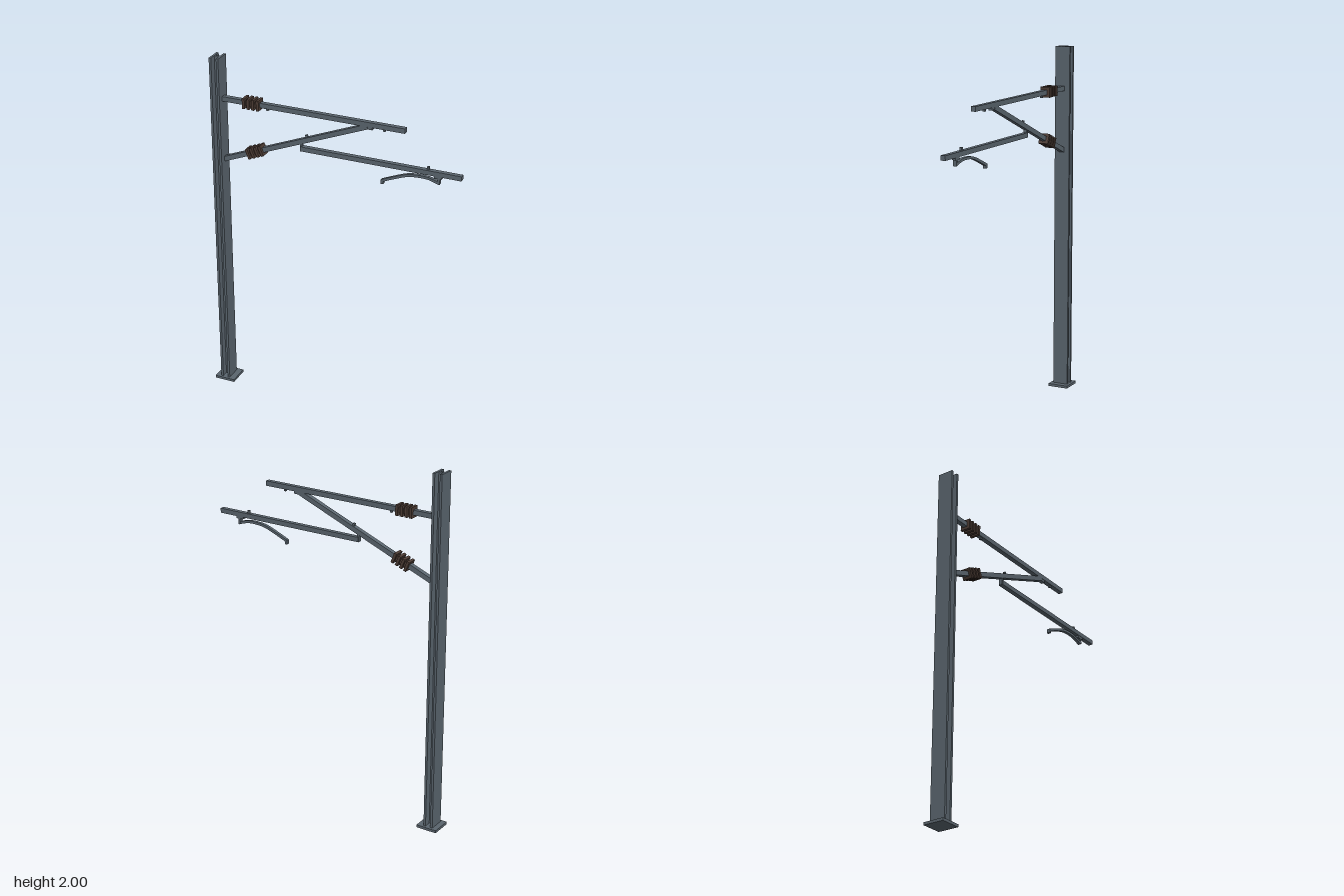
import * as THREE from 'three';

export function createModel() {
  const model = new THREE.Group();
  const steel = new THREE.MeshStandardMaterial({ color: 0x5a656e });
  steel.name = 'galvanised steel';
  const brown = new THREE.MeshStandardMaterial({ color: 0x4c3c34 });
  brown.name = 'brown insulator';

  const box = (name, x0, x1, y0, y1, depth, material = steel, parent = model) => {
    const mesh = new THREE.Mesh(new THREE.BoxGeometry(x1 - x0, y1 - y0, depth), material);
    mesh.position.set((x0 + x1) / 2, (y0 + y1) / 2, 0);
    mesh.name = name;
    parent.add(mesh);
    return mesh;
  };

  // Profile in the xy plane, extruded evenly to both sides of z = 0
  const plate = (name, points, depth) => {
    const shape = new THREE.Shape(points.map(([x, y]) => new THREE.Vector2(x, y)));
    const geometry = new THREE.ExtrudeGeometry(shape, { depth, bevelEnabled: false });
    geometry.translate(0, 0, -depth / 2);
    const mesh = new THREE.Mesh(geometry, steel);
    mesh.name = name;
    model.add(mesh);
    return mesh;
  };

  // Insulator: a core with four square sheds along local x
  const insulator = (name, parent, start) => {
    const group = new THREE.Group();
    group.name = name;
    box('insulatorCore', start, start + 0.098, -0.016, 0.016, 0.032, brown, group);
    for (let i = 0; i < 4; i++) {
      const x = start + i * 0.0275;
      box('insulatorShed', x, x + 0.015, -0.029, 0.029, 0.058, brown, group);
    }
    parent.add(group);
    return group;
  };

  // Mast: H section on a base plate
  box('basePlate', -0.725, -0.605, 0, 0.015, 0.12);
  box('mastWeb', -0.682, -0.652, 0.015, 2, 0.012);
  box('mastOuterFlange', -0.695, -0.682, 0.015, 2, 0.09);
  box('mastInnerFlange', -0.653, -0.64, 0.015, 2, 0.09);

  // Top tube
  box('topTube', -0.642, 0.407, 1.75, 1.777, 0.027);
  insulator('topInsulator', model, -0.515).position.y = 1.7635;
  box('topTubeClip', -0.383, -0.371, 1.737, 1.752, 0.012);
  box('topTubeEndClip', 0.283, 0.295, 1.737, 1.752, 0.012);

  // Diagonal bracket tube with its insulator and clip
  const diagonal = new THREE.Group();
  diagonal.name = 'diagonalBracket';
  diagonal.position.set(-0.642, 1.41, 0);
  diagonal.rotation.z = Math.atan2(0.337, 0.83);
  model.add(diagonal);
  box('diagonalTube', 0, 0.905, -0.0135, 0.0135, 0.027, steel, diagonal);
  insulator('diagonalInsulator', diagonal, 0.158);
  box('diagonalClip', 0.532, 0.544, 0.012, 0.027, 0.012, steel, diagonal);
  box('diagonalEndBracket', 0.18, 0.225, 1.736, 1.752, 0.022);

  // Registration tube, hung from the diagonal
  box('registrationTube', -0.185, 0.72, 1.542, 1.568, 0.027);
  box('registrationHanger', -0.187, -0.175, 1.545, 1.605, 0.02);
  box('registrationClip', 0.529, 0.541, 1.566, 1.585, 0.012);
  box('steadyArmBracket', 0.57, 0.612, 1.529, 1.543, 0.022);
  box('steadyArmDrop', 0.59, 0.602, 1.498, 1.535, 0.02);

  // Curved steady arm: a strip of even thickness along a spline
  const curve = new THREE.SplineCurve([
    [0.282, 1.459], [0.35, 1.488], [0.42, 1.514], [0.48, 1.522], [0.54, 1.52], [0.6, 1.502],
  ].map(([x, y]) => new THREE.Vector2(x, y)));
  const upper = [], lower = [];
  for (let i = 0; i <= 16; i++) {
    const p = curve.getPoint(i / 16);
    const t = curve.getTangent(i / 16);
    upper.push([p.x - t.y * 0.007, p.y + t.x * 0.007]);
    lower.unshift([p.x + t.y * 0.007, p.y - t.x * 0.007]);
  }
  plate('steadyArm', [...upper, ...lower], 0.018);
  box('contactWireClamp', 0.276, 0.289, 1.44, 1.464, 0.02);

  return model;
}
